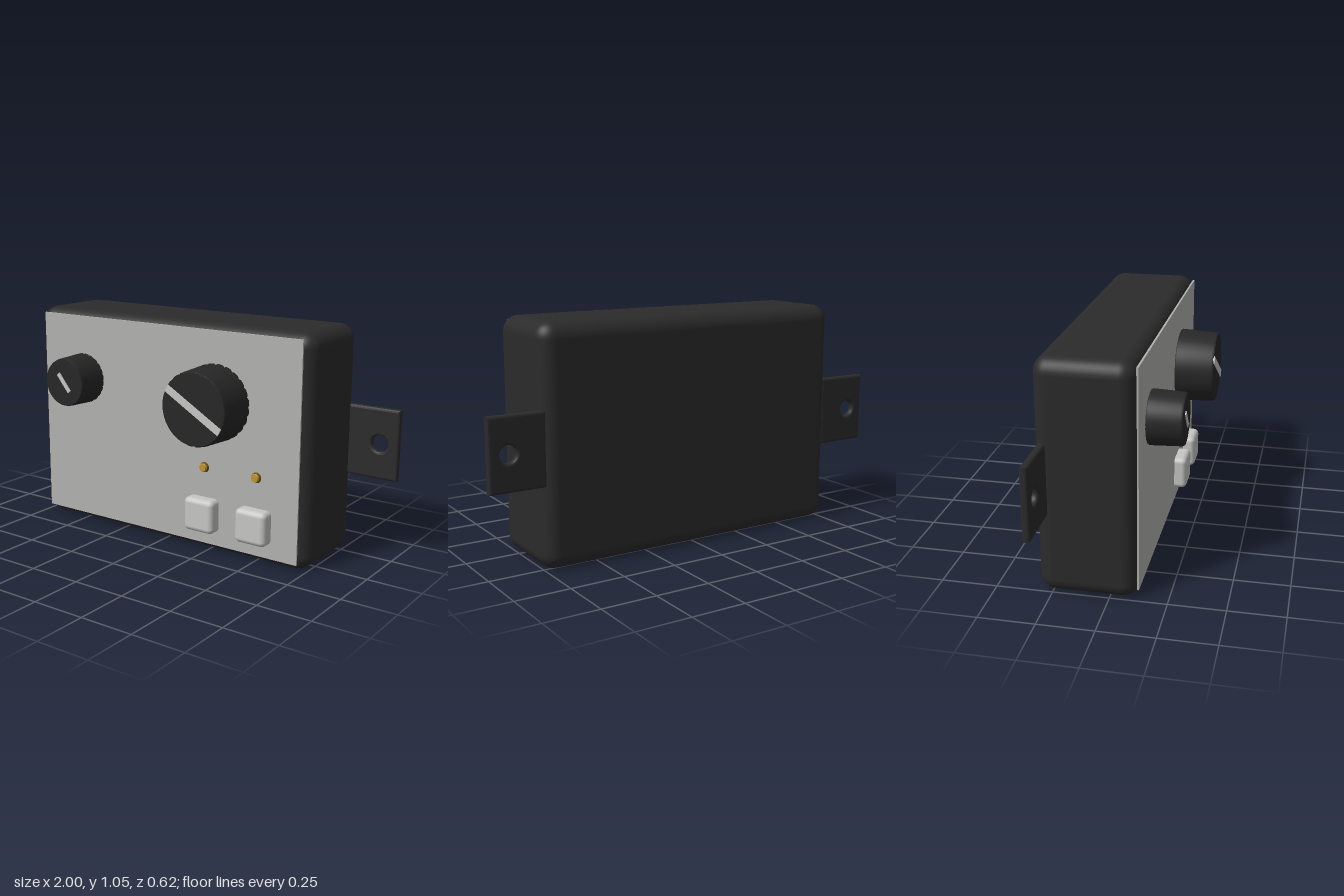
import * as THREE from 'three';
import { RoundedBoxGeometry } from 'three/addons/geometries/RoundedBoxGeometry.js';

const mat = (name, color, side = THREE.FrontSide) =>
  Object.assign(new THREE.MeshStandardMaterial({ color, side }), { name });

export function createModel() {
  const root = new THREE.Group();
  root.name = 'controlBox';
  const black = mat('caseBlack', 0x2b2b2b);
  const knobBlack = mat('knobBlack', 0x272727);
  const grey = mat('panelGrey', 0xb2b2b0);
  const light = mat('buttonGrey', 0xc6c6c4);
  const gold = mat('lampGold', 0xc09430);
  const darkGold = mat('lampRim', 0x6e5520);

  const add = (name, geo, material, x, y, z, parent = root) => {
    const m = new THREE.Mesh(geo, material);
    m.name = name;
    m.position.set(x, y, z);
    parent.add(m);
    return m;
  };

  // Case and face panel
  add('case', new RoundedBoxGeometry(1.53, 1.055, 0.43, 4, 0.07), black, 0, 0.5275, -0.095);
  add('facePanel', new THREE.BoxGeometry(1.44, 0.995, 0.009), grey, 0, 0.5325, 0.118);

  // Mounting tabs with a screw hole, softened edges
  const b = 0.012;
  for (const s of [-1, 1]) {
    const w = 0.13 - b, h = 0.1625 - b;
    const shape = new THREE.Shape();
    shape.moveTo(-w, -h).lineTo(w, -h).lineTo(w, h).lineTo(-w, h).closePath();
    const hole = new THREE.Path();
    hole.absarc(s * 0.04, 0, 0.038 + b, 0, Math.PI * 2, true);
    shape.holes.push(hole);
    const geo = new THREE.ExtrudeGeometry(shape, {
      depth: 0.035 - 2 * b, bevelThickness: b, bevelSize: b, bevelSegments: 3, curveSegments: 24,
    });
    add(s < 0 ? 'rightTab' : 'leftTab', geo, black, s * 0.87, 0.5325, -0.29 + b);
  }

  // Knobs: tapered, with fine notches round the side and a pointer bar
  const knob = (name, x, y, r, depth, length, width, angle) => {
    const g = new THREE.Group();
    g.name = name;
    g.position.set(x, y, 0.122);
    root.add(g);
    const profile = [[r * 0.97, 0], [r, 0.006], [r * 0.955, depth - 0.01], [r * 0.92, depth]]
      .map(([px, py]) => new THREE.Vector2(px, py));
    const geo = new THREE.LatheGeometry(profile, 96);
    const p = geo.attributes.position;
    for (let i = 0; i < p.count; i++) {
      const notch = Math.floor(i / profile.length) % 4 === 0 ? 0.965 : 1;
      p.setX(i, p.getX(i) * notch);
      p.setZ(i, p.getZ(i) * notch);
    }
    geo.rotateX(Math.PI / 2);
    add('knobSide', geo, knobBlack, 0, 0, 0, g);
    add('knobFace', new THREE.CircleGeometry(r * 0.925, 48), knobBlack, 0, 0, depth - 0.0005, g);
    add('pointer', new THREE.BoxGeometry(length, width, 0.009), light, 0, 0, depth, g)
      .rotation.z = angle;
  };
  knob('smallKnob', -0.47, 0.73, 0.12, 0.153, 0.105, 0.02, -0.88);
  knob('largeKnob', 0.295, 0.71, 0.175, 0.183, 0.32, 0.034, -0.525);

  // Lamps above their push buttons
  for (const [i, x] of [0.235, 0.51].entries()) {
    const rim = new THREE.CylinderGeometry(0.021, 0.025, 0.012, 24).rotateX(Math.PI / 2);
    add('lampRim' + i, rim, darkGold, x, 0.4, 0.127);
    const bulb = new THREE.CylinderGeometry(0.017, 0.0235, 0.02, 24).rotateX(Math.PI / 2);
    add('lamp' + i, bulb, gold, x, 0.4, 0.132);
    add('button' + i, new RoundedBoxGeometry(0.158, 0.158, 0.08, 4, 0.024), light, x, 0.18, 0.142);
  }
  return root;
}
